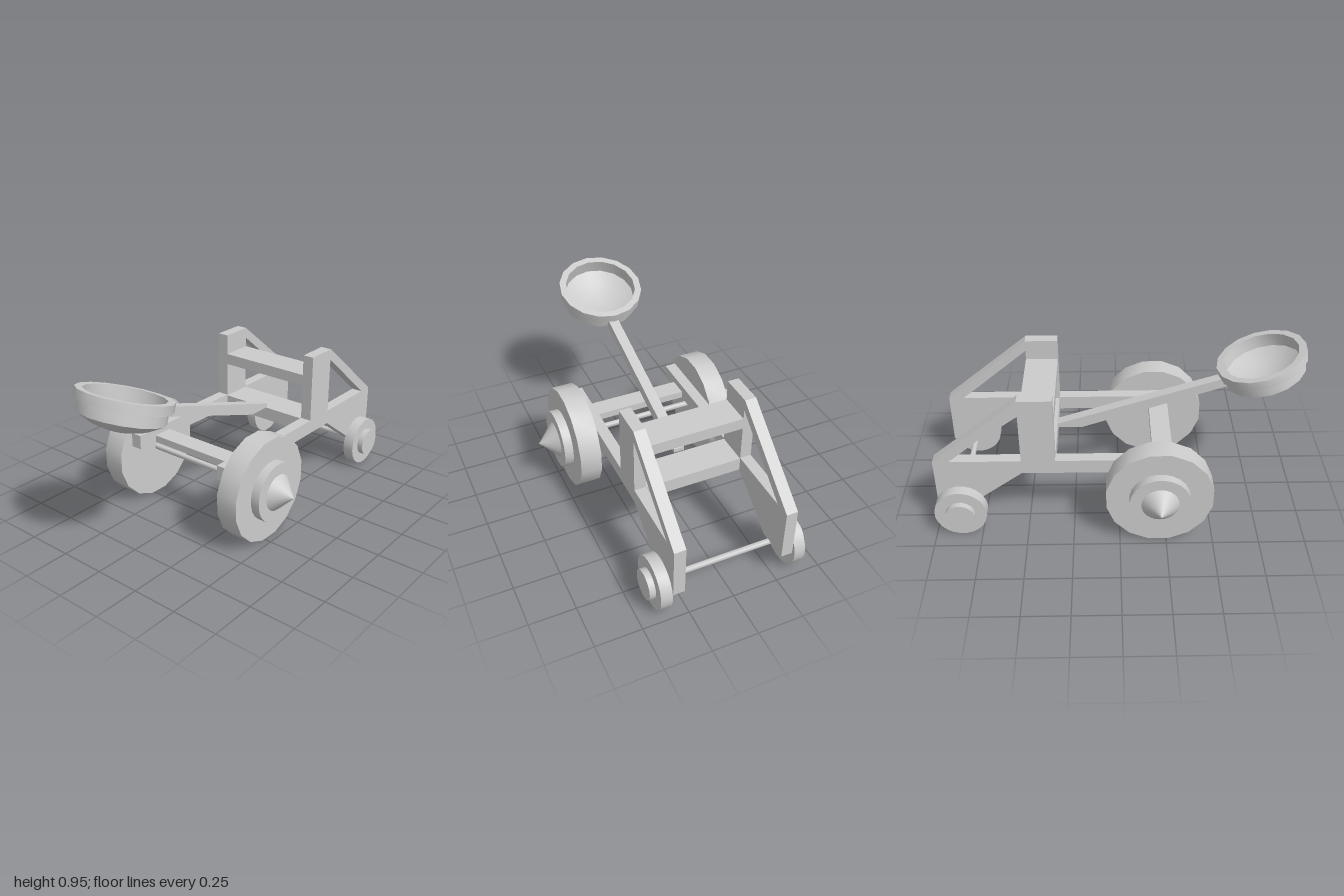
import * as THREE from 'three';
import { toCreasedNormals } from 'three/addons/utils/BufferGeometryUtils.js';

const material = new THREE.MeshStandardMaterial({ color: 0xcccccc, side: THREE.DoubleSide });

export function createModel() {
  const model = new THREE.Group();
  model.name = 'catapult';

  const add = (name, geometry, parent = model) => {
    const mesh = new THREE.Mesh(geometry, material);
    mesh.name = name;
    parent.add(mesh);
    return mesh;
  };

  // Box given by its bounds, symmetric in x
  const beam = (name, halfX, y0, y1, z0, z1) =>
    add(name, new THREE.BoxGeometry(2 * halfX, y1 - y0, z1 - z0))
      .position.set(0, (y0 + y1) / 2, (z0 + z1) / 2);

  // Extrudes a [z, y] outline along x, from x0 to x0 + width
  const plate = (name, outline, holes, x0, width) => {
    const points = list => list.map(([z, y]) => new THREE.Vector2(-z, y));
    const shape = new THREE.Shape(points(outline));
    holes.forEach(hole => shape.holes.push(new THREE.Path(points(hole))));
    const geometry = new THREE.ExtrudeGeometry(shape, { depth: width, bevelEnabled: false });
    geometry.rotateY(Math.PI / 2).translate(x0, 0, 0);
    return add(name, geometry);
  };

  // Cylinder or cone along x, with a flat side facing down
  const disc = (name, parent, x0, x1, r0, r1, sides) => {
    const geometry = new THREE.CylinderGeometry(r0, r1, Math.abs(x1 - x0), sides);
    geometry.rotateY(Math.PI / sides).rotateZ(Math.PI / 2);
    if (x1 > x0) geometry.rotateY(Math.PI);
    geometry.translate((x0 + x1) / 2, 0, 0);
    add(name, toCreasedNormals(geometry, 0.6), parent);
  };

  // Side frames: rail, upright and braced tail with a triangular opening
  const outline = [
    [0.41, 0.365], [-0.52, 0.365], [-0.81, 0.155], [-0.985, 0.155],
    [-0.985, 0.445], [-0.52, 0.822], [-0.34, 0.822], [-0.34, 0.445], [0.41, 0.445],
  ];
  const opening = [[-0.52, 0.76], [-0.52, 0.445], [-0.9, 0.445]];
  plate('leftFrame', outline, [opening], 0.27, 0.063);
  plate('rightFrame', outline, [opening], -0.333, 0.063);

  // Cross beams
  beam('upperCrossBeam', 0.27, 0.643, 0.706, -0.52, -0.34);
  beam('lowerCrossBeam', 0.27, 0.365, 0.44, -0.52, -0.34);
  beam('frontCrossBeam', 0.27, 0.365, 0.405, 0.18, 0.29);

  // Throwing arm
  plate('throwingArm', [
    [0.6, 0.71], [-0.2, 0.445], [-0.34, 0.445], [-0.34, 0.467], [0.6, 0.764],
  ], [], -0.029, 0.058);

  // Tilted bowl with a stepped rim, turned as one closed profile
  const profile = [
    [0, -0.18], [0.08, -0.173], [0.15, -0.152], [0.22, -0.112],
    [0.22, -0.05], [0.243, -0.05], [0.243, 0], [0.205, 0],
    [0.205, -0.075], [0.14, -0.113], [0.07, -0.135], [0, -0.142],
  ].map(([r, y]) => new THREE.Vector2(r, y));
  const bowl = add('bowl', toCreasedNormals(new THREE.LatheGeometry(profile, 16), 0.6));
  bowl.position.set(0, 0.878, 0.755);
  bowl.rotation.x = -0.315;

  // Axles and wheels
  const wheelSets = [
    { name: 'front', y: 0.286, z: 0.21, sides: 16, tyre: [0.34, 0.46, 0.288], hub: [0.46, 0.51, 0.163], spike: true },
    { name: 'rear', y: 0.144, z: -0.858, sides: 24, tyre: [0.34, 0.402, 0.141], hub: [0.402, 0.435, 0.08] },
  ];
  for (const set of wheelSets) {
    const group = new THREE.Group();
    group.name = set.name + 'WheelSet';
    group.position.set(0, set.y, set.z);
    model.add(group);
    disc(set.name + 'Axle', group, -0.35, 0.35, 0.016, 0.016, 12);
    for (const [side, s] of [['Left', 1], ['Right', -1]]) {
      const [t0, t1, tr] = set.tyre;
      const [h0, h1, hr] = set.hub;
      disc(set.name + side + 'Wheel', group, s * t0, s * t1, tr, tr, set.sides);
      disc(set.name + side + 'Hub', group, s * h0, s * h1, hr, hr, 24);
      // Pointed hub cap
      if (set.spike) {
        const cone = new THREE.ConeGeometry(0.1, 0.1, 24);
        cone.rotateZ(-s * Math.PI / 2).translate(s * 0.56, 0, 0);
        add(set.name + side + 'Spike', cone, group);
      }
    }
  }

  return model;
}
